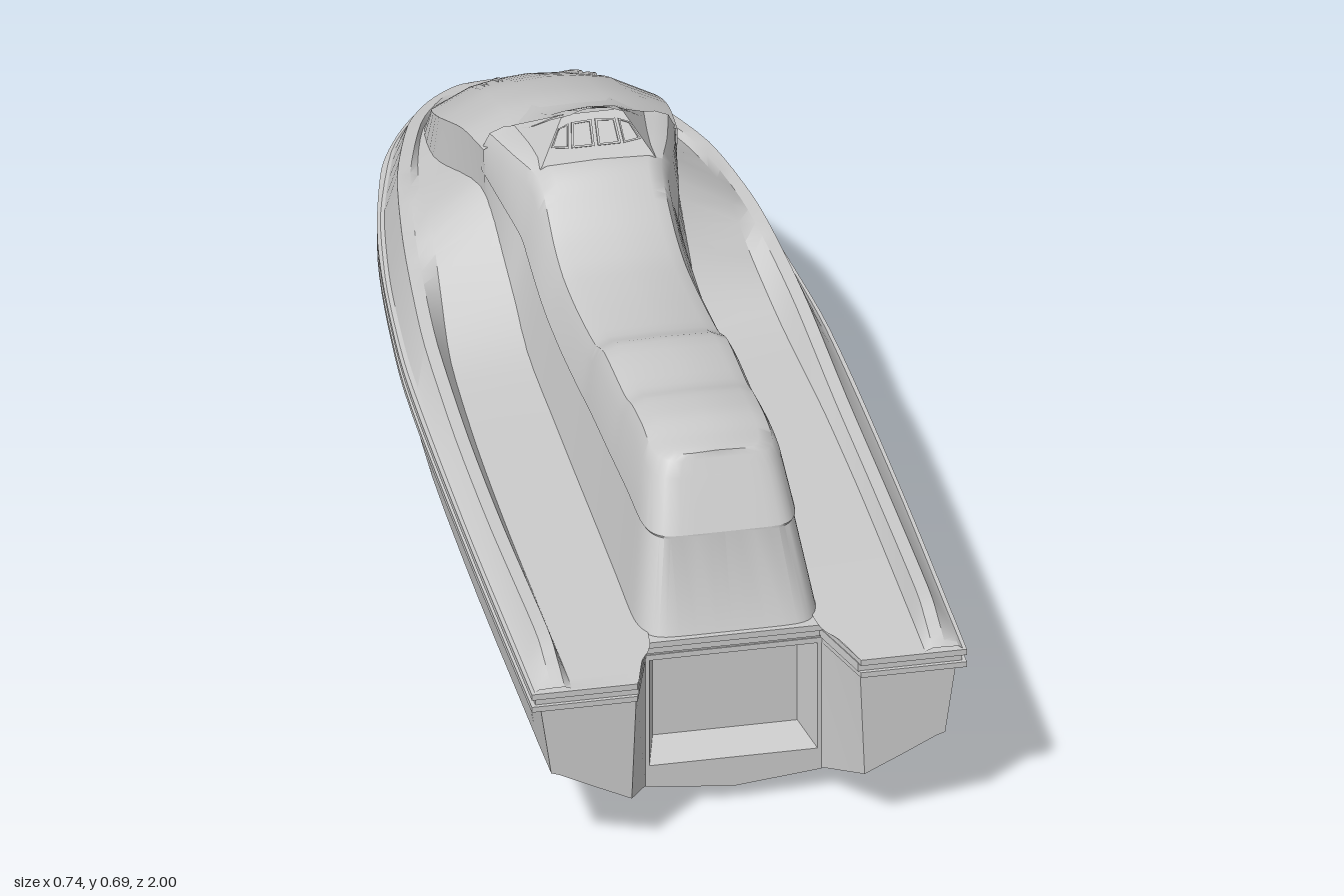
import * as THREE from 'three';
import { toCreasedNormals } from 'three/addons/utils/BufferGeometryUtils.js';
import { ConvexGeometry } from 'three/addons/geometries/ConvexGeometry.js';

const grey = new THREE.MeshStandardMaterial({ color: 0xcccccc, side: THREE.DoubleSide });
const flat = new THREE.MeshStandardMaterial({ color: 0xcccccc, side: THREE.DoubleSide, flatShading: true });

// Half-section (outer +x to centre) completed with its mirror image.
const flip = (pts) => pts.map(([x, y, z]) => [-x, y, z]).reverse();
const full = (half) => {
  const m = flip(half);
  return half.concat(half[half.length - 1][0] === 0 ? m.slice(1) : m);
};

// Adds smooth in-between sections.
function refine(rows, steps) {
  const curves = rows[0].map((_, j) => new THREE.CatmullRomCurve3(
    rows.map((r) => new THREE.Vector3(...r[j])), false, 'catmullrom', 0.4));
  const n = (rows.length - 1) * steps;
  return Array.from({ length: n + 1 }, (_, i) => curves.map((c) => c.getPoint(i / n).toArray()));
}

// Skin over a list of sections.
function loft(rows, crease = 0.5) {
  const w = rows[0].length, index = [];
  for (let i = 0; i < rows.length - 1; i++) {
    for (let j = 0; j < w - 1; j++) {
      const a = i * w + j, b = a + w;
      index.push(a, b, a + 1, b, b + 1, a + 1);
    }
  }
  const g = new THREE.BufferGeometry();
  g.setAttribute('position', new THREE.Float32BufferAttribute(rows.flat(2), 3));
  g.setIndex(index);
  return toCreasedNormals(g, crease);
}

const polygon = (pts, Type = THREE.Shape) => new Type(pts.map(([x, y]) => new THREE.Vector2(x, y)));

export function createModel() {
  const model = new THREE.Group();
  const add = (name, geometry, material = grey, parent = model) => {
    const mesh = new THREE.Mesh(geometry, material);
    mesh.name = name;
    parent.add(mesh);
    return mesh;
  };

  // Hull: z, half width, upper chine, lower chine, keel
  const hullRows = [
    [0.87, 0.365, 0.16, 0.09, 0.027], [0.4, 0.366, 0.162, 0.078, 0.012], [0, 0.36, 0.165, 0.07, 0],
    [-0.3, 0.341, 0.174, 0.078, 0.004], [-0.5, 0.315, 0.188, 0.102, 0.03], [-0.7, 0.27, 0.211, 0.142, 0.08],
    [-0.8, 0.235, 0.226, 0.17, 0.12], [-0.9, 0.175, 0.245, 0.208, 0.175], [-0.96, 0.105, 0.262, 0.24, 0.225],
    [-0.988, 0.04, 0.278, 0.27, 0.262],
  ].map(([z, w, c1, c2, k]) => full([
    [w * 0.973, 0.292, z], [w * 0.92, c1, z], [w * 0.87, c1 - 0.005, z], [w * 0.67, c2, z],
    [w * 0.39, k + (c2 - k) * 0.28, z], [0, k, z]]).reverse());
  add('hull', loft(refine(hullRows, 3), 0.3));

  // Stern sponsons either side of the jet notch
  const sponsonEnd = [[0.19, 0.3], [0.198, 0.095], [0.26, 0.125], [0.32, 0.155], [0.335, 0.16], [0.355, 0.3]];
  const sponsonRoot = [[0.15, 0.3], [0.15, 0.045], [0.245, 0.09], [0.3175, 0.155], [0.336, 0.16], [0.355, 0.3]];
  const sponson = [sponsonEnd.map((p) => [...p, 0.99]), sponsonRoot.map((p) => [...p, 0.87])];
  for (const side of [1, -1]) {
    const name = side > 0 ? 'leftSponson' : 'rightSponson';
    add(name, loft(side > 0 ? sponson : sponson.map(flip), 0.2));
    const cap = polygon(sponsonEnd.map(([x, y]) => [x * side, y]));
    add(name + 'End', new THREE.ShapeGeometry(cap)).position.z = 0.99;
  }

  // Transom with a tapered jet recess
  const rect = (x, y0, y1) => [[x, y0], [-x, y0], [-x, y1], [x, y1]];
  const transom = polygon([[0, 0.027], [0.15, 0.043], [0.15, 0.3], [-0.15, 0.3], [-0.15, 0.043]]);
  transom.holes.push(polygon(rect(0.143, 0.083, 0.289), THREE.Path));
  add('transom', new THREE.ShapeGeometry(transom)).position.z = 0.87;
  const ring = (x, y0, y1, z) => [...rect(x, y0, y1), [x, y0]].map((p) => [...p, z]);
  add('jetRecess', loft([ring(0.143, 0.083, 0.289, 0.87), ring(0.123, 0.1, 0.27, 0.8)], 0.2));
  add('jetRecessBack', new THREE.PlaneGeometry(0.246, 0.17)).position.set(0, 0.185, 0.8);

  // Rub rail: stacked slabs following the deck outline
  const edge = new THREE.SplineCurve([
    [0.37, 1], [0.371, 0.5], [0.365, 0], [0.349, -0.25], [0.319, -0.5], [0.275, -0.7],
    [0.24, -0.8], [0.18, -0.9], [0.11, -0.965], [0, -1],
  ].map((p) => new THREE.Vector2(...p))).getPoints(40).map((p) => [p.x, p.y]);
  const outline = [[0.15, 0.872], [0.19, 1], ...edge];
  const loop = outline.concat(outline.slice(0, -1).reverse().map(([x, z]) => [-x, z]));
  [[0.287, 0.01, 1], [0.296, 0.016, 0.98], [0.31, 0.011, 1]].forEach(([y, depth, s], i) => {
    const slab = new THREE.ExtrudeGeometry(polygon(loop.map(([x, z]) => [x * s, -z * (s < 1 ? 0.993 : 1)])),
      { depth, bevelEnabled: false });
    slab.rotateX(-Math.PI / 2).translate(0, y, 0);
    add('rubRail' + (i + 1), toCreasedNormals(slab, 0.5));
  });

  // Deck sides: z, half width, gunwale height, then well floor outer x, y and inner x, y
  const deckRows = refine([
    [0.995, 0.365, 0.327, 0.3, 0.322, 0.187, 0.322], [0.93, 0.365, 0.347, 0.3, 0.323, 0.168, 0.323],
    [0.85, 0.365, 0.36, 0.3, 0.324, 0.14, 0.324], [0.5, 0.366, 0.352, 0.3, 0.325, 0.15, 0.328],
    [0.2, 0.363, 0.352, 0.295, 0.327, 0.15, 0.33], [-0.08, 0.357, 0.37, 0.282, 0.332, 0.15, 0.34],
    [-0.25, 0.345, 0.388, 0.265, 0.372, 0.155, 0.415], [-0.4, 0.329, 0.4, 0.25, 0.42, 0.158, 0.482],
    [-0.6, 0.295, 0.396, 0.23, 0.39, 0.18, 0.415], [-0.8, 0.235, 0.37, 0.18, 0.358, 0.165, 0.365],
    [-0.9, 0.175, 0.352, 0.118, 0.344, 0.1, 0.344], [-0.96, 0.105, 0.34, 0.05, 0.334, 0.03, 0.334],
    [-0.99, 0.04, 0.327, 0.01, 0.325, 0, 0.325],
  ].map(([z, w, g, x3, y3, x4, y4]) => {
    const k = Math.min(1, w / 0.2);
    return [[w, 0.32, z], [w - 0.008 * k, 0.326, z], [w - 0.03 * k, g, z], [w - 0.052 * k, g, z],
      [x3, y3, z], [x4, y4, z]];
  }), 4);
  add('leftDeck', loft(deckRows, 0.45));
  add('rightDeck', loft(deckRows.map(flip), 0.45));

  // Seat and its pedestal: wrapped rear end, then z, base x, base y, seam x, seam y, shoulder x, top y
  const section = (z, bx, by, sx, sy, tx, ty, lean = 0, k = 1) => [
    [bx * k, by, z], [sx * k, sy, z - lean * 0.5], [(sx + 0.003) * k, sy + 0.004, z - lean * 0.5],
    [tx * k, ty - 0.035, z - lean * 0.85], [(tx - 0.012) * k, ty - 0.01, z - lean * 0.96],
    [(tx - 0.035) * k, ty, z - lean], [0, ty + 0.002, z - lean]];
  const rear = [0.155, 0.32, 0.128, 0.475, 0.115, 0.6];
  const bodyRows = refine([
    section(0.862, ...rear, 0.12, 0), section(0.86, ...rear, 0.12, 0.72),
    section(0.838, ...rear, 0.12, 0.93), section(0.79, ...rear, 0.11),
    section(0.66, 0.155, 0.32, 0.128, 0.472, 0.115, 0.603, 0.04),
    section(0.54, 0.155, 0.32, 0.128, 0.465, 0.115, 0.594),
    section(0.48, 0.155, 0.32, 0.128, 0.46, 0.116, 0.58),
    section(0.32, 0.155, 0.32, 0.128, 0.45, 0.117, 0.57),
    section(0.24, 0.155, 0.32, 0.129, 0.443, 0.117, 0.542),
    section(0.1, 0.155, 0.32, 0.13, 0.435, 0.117, 0.524),
    section(-0.02, 0.155, 0.325, 0.13, 0.435, 0.116, 0.52),
    section(-0.1, 0.155, 0.335, 0.13, 0.445, 0.115, 0.537),
    section(-0.17, 0.156, 0.36, 0.13, 0.46, 0.114, 0.572),
    section(-0.22, 0.157, 0.39, 0.132, 0.475, 0.117, 0.598),
    section(-0.3, 0.159, 0.43, 0.148, 0.495, 0.143, 0.6),
    section(-0.39, 0.163, 0.475, 0.163, 0.51, 0.164, 0.592),
  ], 4);
  add('pedestal', loft(bodyRows.map((r) => r.slice(0, 3)), 0.6));
  add('pedestalRight', loft(bodyRows.map((r) => flip(r.slice(0, 3))), 0.6));
  add('seat', loft(bodyRows.map((r) => full(r.slice(2))), 0.7));

  // Hood: z, foot x, y, edge x, y, panel x, y, ridge y
  add('hood', loft(refine([
    [-0.375, 0.162, 0.465, 0.165, 0.56, 0.11, 0.592, 0.612],
    [-0.5, 0.18, 0.425, 0.176, 0.532, 0.11, 0.565, 0.582],
    [-0.65, 0.195, 0.385, 0.184, 0.468, 0.108, 0.51, 0.525],
    [-0.8, 0.18, 0.35, 0.165, 0.395, 0.1, 0.43, 0.445],
    [-0.9, 0.125, 0.335, 0.115, 0.352, 0.07, 0.372, 0.382],
    [-0.975, 0.05, 0.322, 0.042, 0.33, 0.025, 0.334, 0.338],
  ].map(([z, fx, fy, ex, ey, px, py, ry]) =>
    full([[fx, fy, z], [ex, ey, z], [px, py, z], [px * 0.5, ry - 0.004, z], [0, ry, z]])), 4), 0.35));

  // Raised cowl lip above the instruments: z, edge x, edge y, ridge y
  add('cowl', loft(refine([
    [-0.263, 0.042, 0.676, 0.687], [-0.3, 0.07, 0.648, 0.668], [-0.345, 0.095, 0.612, 0.637],
    [-0.4, 0.112, 0.585, 0.61], [-0.46, 0.11, 0.565, 0.59],
  ].map(([z, x, y, ry]) => full([[x, y, z], [x * 0.6, ry - 0.004, z], [0, ry, z]])), 4)));

  // Dash block and framed gauges
  const dash = [[0.05, 0.666, -0.285], [0.095, 0.6, -0.235], [0.112, 0.575, -0.23],
    [0.112, 0.59, -0.395], [0.12, 0.55, -0.3]];
  add('dash', new ConvexGeometry([...dash, ...flip(dash)].map((p) => new THREE.Vector3(...p))), flat);
  const gauges = new THREE.Group();
  gauges.name = 'gauges';
  gauges.position.set(0, 0.6, -0.235);
  gauges.rotation.x = -Math.atan(0.05 / 0.066);
  model.add(gauges);
  const panes = [[[0.003, 0.025], [0.042, 0.025], [0.037, 0.068], [0.003, 0.07]],
    [[0.047, 0.025], [0.076, 0.029], [0.06, 0.06], [0.042, 0.067]]];
  for (const side of [1, -1]) {
    panes.forEach((p, i) => {
      const pts = p.map(([x, y]) => [x * side, y]);
      const cx = pts.reduce((s, q) => s + q[0], 0) / 4, cy = pts.reduce((s, q) => s + q[1], 0) / 4;
      const frame = polygon(pts);
      frame.holes.push(polygon(pts.map(([x, y]) => [cx + (x - cx) * 0.8, cy + (y - cy) * 0.85]), THREE.Path));
      add((side > 0 ? 'left' : 'right') + 'GaugeFrame' + (i + 1),
        new THREE.ExtrudeGeometry(frame, { depth: 0.004, bevelEnabled: false }), flat, gauges);
    });
    // Hood vent strips
    for (const x of [0.068, 0.092]) {
      const path = new THREE.CatmullRomCurve3([[0.492, -0.7], [0.465, -0.75], [0.434, -0.8], [0.412, -0.835]]
        .map(([y, z]) => new THREE.Vector3(side * (x + (z + 0.7) * 0.1), y + (0.08 - x) * 0.3, z)));
      add('hoodVent', new THREE.TubeGeometry(path, 8, 0.004, 5));
    }
  }
  return model;
}
